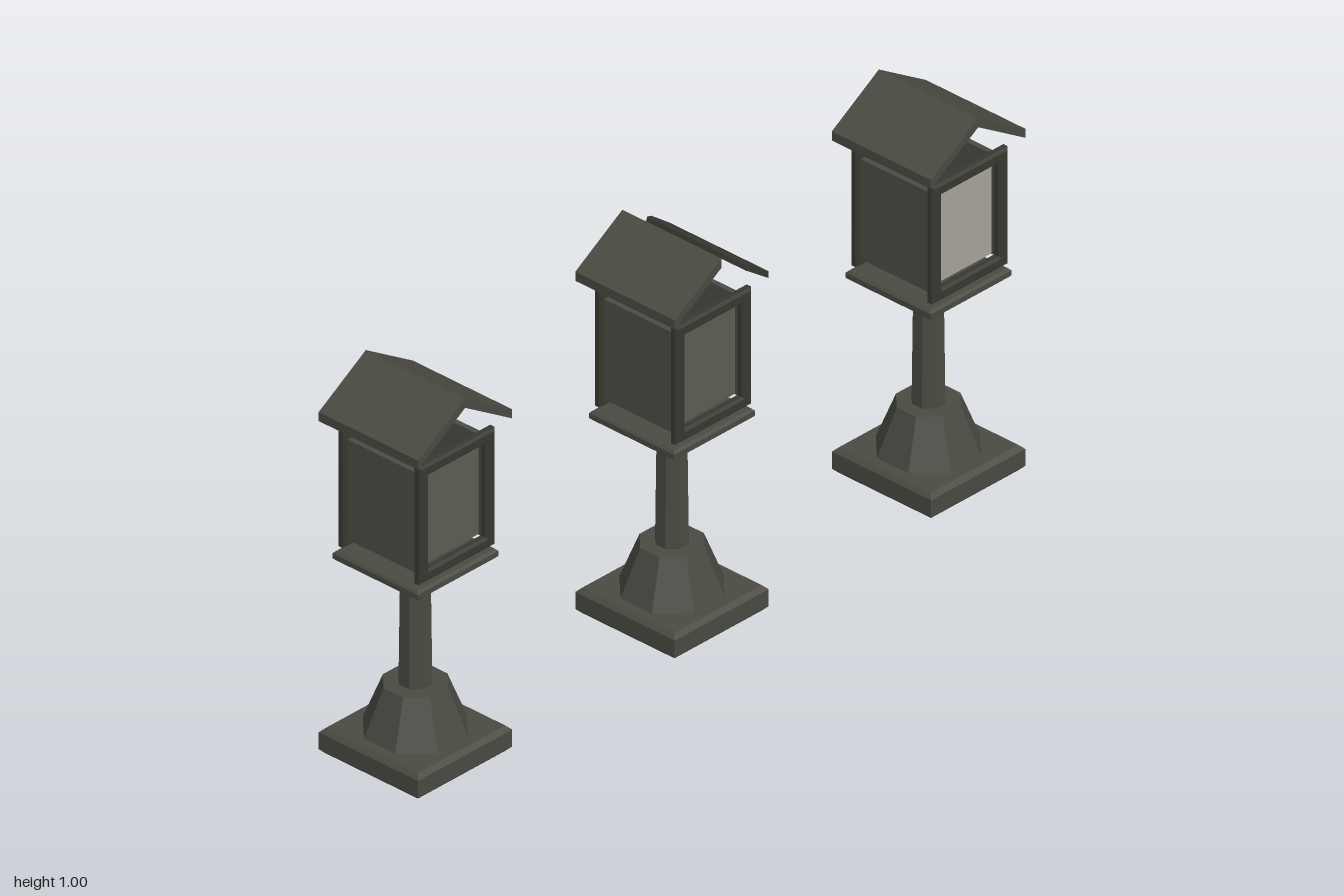
import * as THREE from 'three';

const mat = (color) => new THREE.MeshStandardMaterial({ color, flatShading: true });
const stone = mat(0x4a4a42);
const dark = mat(0x383832);
const wall = mat(0x4c4c45);
const pane = mat(0x5c5c54);
const litPane = mat(0xa8a298);

function add(parent, name, geometry, material, x = 0, y = 0, z = 0) {
  const mesh = new THREE.Mesh(geometry, material);
  mesh.name = name;
  mesh.position.set(x, y, z);
  parent.add(mesh);
  return mesh;
}

function polygon(points) {
  return new THREE.Shape(points.map(([x, y]) => new THREE.Vector2(x, y)));
}

function rectPoints(w, h) {
  return [[-w, -h], [w, -h], [w, h], [-w, h]];
}

// Extrusion centred on z, with a chamfer kept inside the given outline
function extrude(shape, depth, bevel = 0) {
  const geometry = new THREE.ExtrudeGeometry(shape, {
    depth: depth - 2 * bevel, bevelEnabled: bevel > 0, bevelSegments: 1,
    bevelSize: bevel, bevelThickness: bevel, bevelOffset: -bevel,
  });
  return geometry.translate(0, 0, -(depth - 2 * bevel) / 2);
}

// Square chamfered slab lying flat
function slab(half, height, bevel) {
  return extrude(polygon(rectPoints(half, half)), height, bevel).rotateX(-Math.PI / 2);
}

// Octagonal column with flat sides toward the axes
function octagon(top, bottom, height) {
  const k = 1 / Math.cos(Math.PI / 8);
  return new THREE.CylinderGeometry(top * k, bottom * k, height, 8).rotateY(Math.PI / 8);
}

// Chamfered rectangular frame with an opening
function frameGeometry() {
  const shape = polygon(rectPoints(0.125, 0.155));
  shape.holes.push(new THREE.Path(polygon(rectPoints(0.094, 0.124)).getPoints().reverse()));
  return extrude(shape, 0.025, 0.006);
}

function createLantern(x, { lit = false, broken = false }) {
  const lantern = new THREE.Group();
  lantern.name = 'lantern';
  lantern.position.x = x;

  // Pedestal
  add(lantern, 'base', slab(0.155, 0.067, 0.011), stone, 0, 0.0335, 0);
  add(lantern, 'foot', octagon(0.073, 0.118, 0.122), stone, 0, 0.128, 0);
  add(lantern, 'post', octagon(0.034, 0.038, 0.33), stone, 0, 0.35, 0);
  add(lantern, 'platform', slab(0.133, 0.025, 0.006), stone, 0, 0.523, 0);

  // Light box: front and back frames with panes, plain side walls
  for (const side of [1, -1]) {
    add(lantern, side > 0 ? 'frontFrame' : 'backFrame', frameGeometry(), dark, 0, 0.705, side > 0 ? 0.1215 : -0.1155);
    add(lantern, side > 0 ? 'frontPane' : 'backPane', new THREE.BoxGeometry(0.182, 0.244, 0.01),
      side < 0 ? wall : lit ? litPane : pane, 0, 0.705, side * 0.105);
    add(lantern, 'sideWall', new THREE.BoxGeometry(0.014, 0.265, 0.21), wall, side * 0.11, 0.7045, 0.004);
  }

  // Gabled roof; the broken one keeps only a piece near the eave on one side
  const half = [[0, 0.976], [0, 1], [-0.155, 0.904], [-0.155, 0.88]];
  add(lantern, 'roofSlope', extrude(polygon(half), 0.31), stone);
  const other = broken
    ? [[0.155, 0.88], [0.155, 0.898], [0.096, 0.942], [0.082, 0.946], [0.078, 0.934]]
    : half.map(([px, py]) => [-px, py]);
  add(lantern, broken ? 'brokenRoofSlope' : 'roofSlope', extrude(polygon(other), 0.31), broken ? dark : stone);
  return lantern;
}

export function createModel() {
  const model = new THREE.Group();
  model.name = 'stoneLanterns';
  model.add(
    createLantern(-0.845, {}),
    createLantern(0, { broken: true }),
    createLantern(0.845, { lit: true }),
  );
  return model;
}
